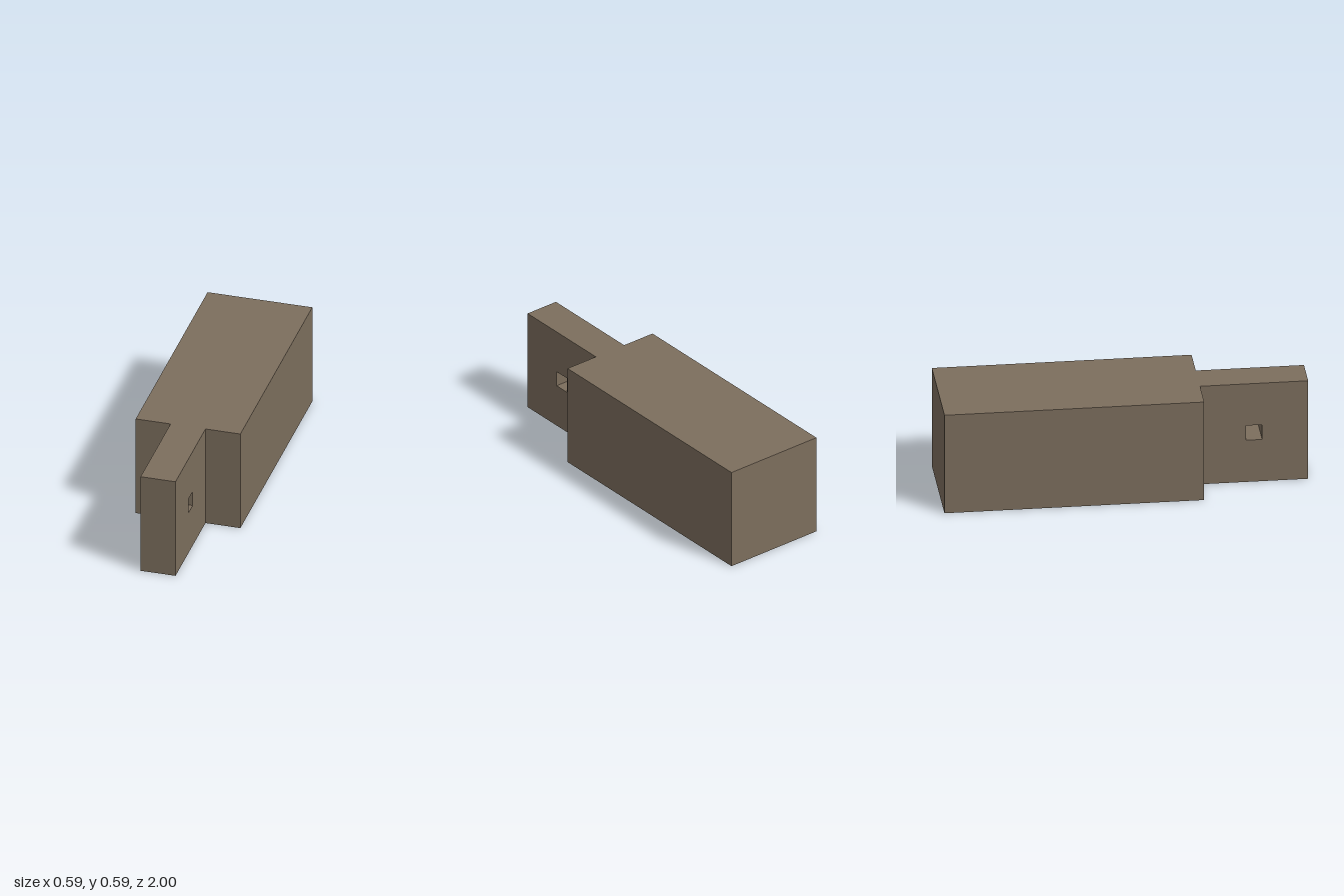
import * as THREE from 'three';

const SIZE = 0.588;          // width and height of the block
const STEP = 0.412;          // z where the block narrows to the tongue
const TONGUE = SIZE / 3;     // tongue thickness
const HOLE = 0.088;          // side of the square peg hole

// Rectangle corners, centred on (cx, cy)
function rect(cx, cy, w, h) {
  return [[-1, -1], [1, -1], [1, 1], [-1, 1]].map(
    ([sx, sy]) => new THREE.Vector2(cx + sx * w / 2, cy + sy * h / 2));
}

export function createModel() {
  const group = new THREE.Group();
  group.name = 'tenonedBeam';
  const wood = new THREE.MeshStandardMaterial({ color: 0x7c6e5d });
  wood.name = 'brown wood';

  // Main block
  const length = STEP + 1;
  const block = new THREE.Mesh(new THREE.BoxGeometry(SIZE, SIZE, length), wood);
  block.name = 'beamBlock';
  block.position.set(0, SIZE / 2, STEP - length / 2);
  group.add(block);

  // Tongue: side profile with a square hole, extruded across x
  const reach = 1 - STEP;
  const midZ = STEP + reach / 2;
  const profile = new THREE.Shape(rect(midZ, SIZE / 2, reach, SIZE));
  profile.holes.push(new THREE.Path(rect(midZ, SIZE / 2, HOLE, HOLE).reverse()));
  const geometry = new THREE.ExtrudeGeometry(profile, { depth: TONGUE, bevelEnabled: false });
  geometry.translate(0, 0, -TONGUE / 2).rotateY(-Math.PI / 2);
  const tongue = new THREE.Mesh(geometry, wood);
  tongue.name = 'tongueWithPegHole';
  group.add(tongue);

  return group;
}
